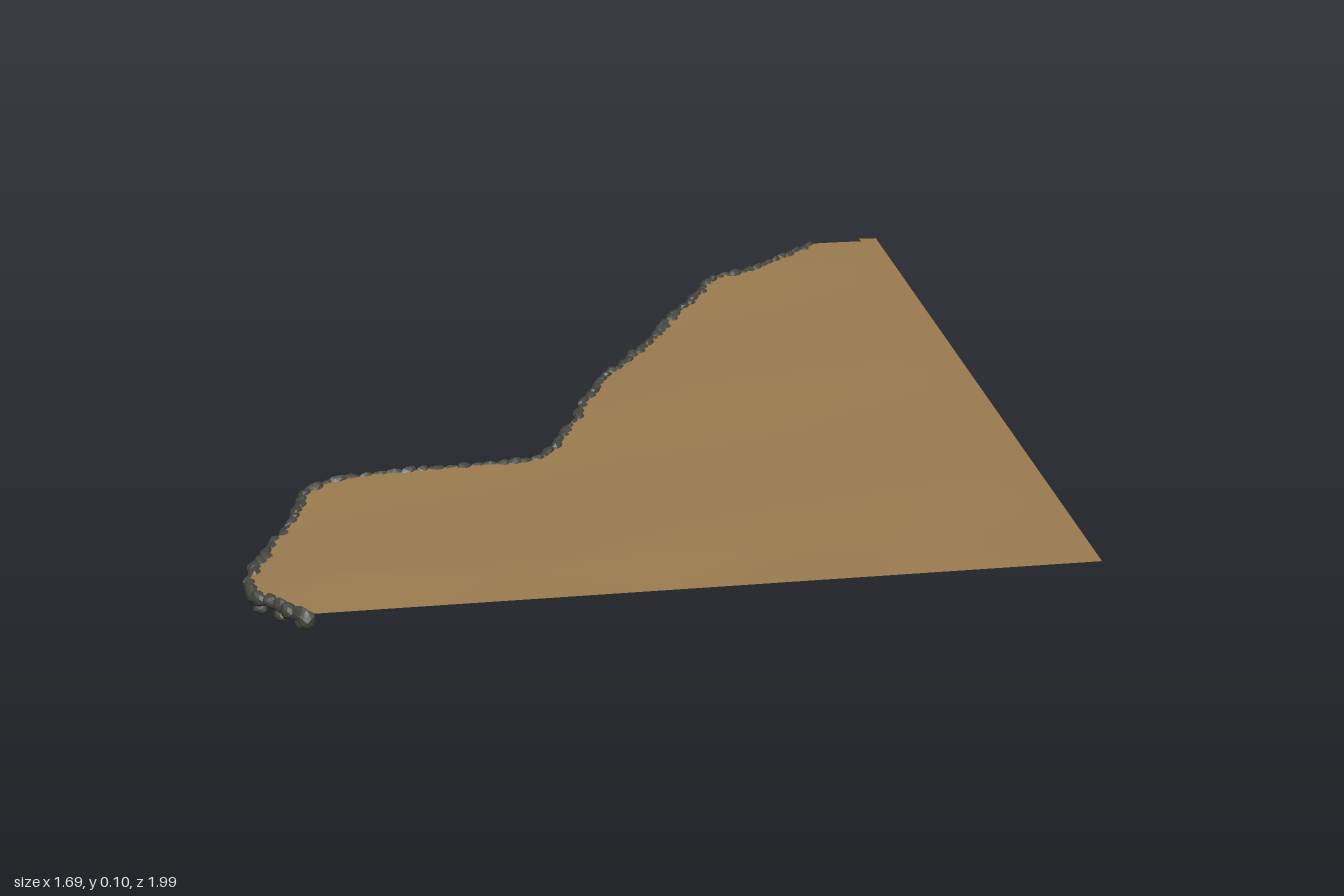
import * as THREE from 'three';

// Ragged bank line (x, z), from back to front
const BANK = [
  [0.69, -0.98], [0.6, -0.9], [0.48, -0.8], [0.39, -0.76], [0.31, -0.61], [0.23, -0.49],
  [0.19, -0.39], [0.12, -0.29], [0.03, -0.15], [-0.03, -0.03], [-0.06, 0.06], [-0.13, 0.2],
  [-0.17, 0.275], [-0.3, 0.3], [-0.48, 0.322], [-0.63, 0.34], [-0.68, 0.38], [-0.73, 0.54],
  [-0.78, 0.65], [-0.83, 0.8], [-0.82, 0.86], [-0.73, 0.975],
];
const RIGHT = 0.853;

// Small seeded generator
let seed = 7;
const rand = () => {
  seed = (seed * 16807) % 2147483647;
  return seed / 2147483647;
};

// Gentle swell of the ground, fading to flat at the straight outer sides
function groundHeight(x, z) {
  const fade = Math.min(1, Math.max(0, (RIGHT - x) / 0.5)) * Math.min(1, Math.max(0, (0.975 - z) / 0.15));
  return 0.086 + fade * (0.004 + 0.004 * Math.sin(x * 11 + z * 2) + 0.004 * Math.cos(z * 9 + x * 3));
}

// Open sheet spanning from the bank line to the straight right side
function groundGeometry() {
  const rows = [[0.81, -1], [0.81, -0.98]];
  BANK.forEach(([x, z], i) => {
    const [x2, z2] = BANK[i + 1] ?? [x, z];
    const steps = i < BANK.length - 1 ? 3 : 1;
    for (let k = 0; k < steps; k++) rows.push([x + (x2 - x) * k / steps, z + (z2 - z) * k / steps]);
  });
  const cols = 36, pos = [], index = [];
  rows.forEach(([x0, z], i) => {
    for (let j = 0; j <= cols; j++) {
      const x = x0 + (RIGHT - x0) * j / cols;
      pos.push(x, groundHeight(x, z), z);
      if (i < rows.length - 1 && j < cols) {
        const a = i * (cols + 1) + j, c = a + cols + 1;
        index.push(a, c, a + 1, a + 1, c, c + 1);
      }
    }
  });
  const geo = new THREE.BufferGeometry();
  geo.setAttribute('position', new THREE.Float32BufferAttribute(pos, 3));
  geo.setIndex(index);
  geo.computeVertexNormals();
  return geo;
}

// A few lumpy stone shapes, shared by all rocks
function stoneGeometry(k) {
  const geo = new THREE.IcosahedronGeometry(1, 1);
  const p = geo.attributes.position, v = new THREE.Vector3();
  for (let i = 0; i < p.count; i++) {
    v.fromBufferAttribute(p, i);
    v.multiplyScalar(0.93 + 0.1 * Math.sin(v.x * 3 + k * 2) * Math.cos(v.y * 4 + k) + 0.06 * Math.sin(v.z * 5 + k));
    p.setXYZ(i, v.x, v.y, v.z);
  }
  geo.computeVertexNormals();
  return geo;
}

export function createModel() {
  const model = new THREE.Group();

  const ground = new THREE.Mesh(groundGeometry(),
    new THREE.MeshStandardMaterial({ color: 0x9c7c50, side: THREE.DoubleSide }));
  ground.name = 'ground';
  model.add(ground);

  // Rocks strung along the bank
  const bankRocks = new THREE.Group();
  bankRocks.name = 'bankRocks';
  const stoneMat = new THREE.MeshStandardMaterial({ color: 0x45453f, flatShading: true });
  const stones = [0, 1, 2, 3].map(stoneGeometry);
  const addRock = (x, y, z, sx, sy, sz, turn) => {
    const rock = new THREE.Mesh(stones[Math.floor(rand() * 4)], stoneMat);
    rock.name = 'rock';
    rock.position.set(x, y, z);
    rock.scale.set(sx, sy, sz);
    rock.rotation.y = turn;
    bankRocks.add(rock);
  };
  for (let i = 0; i < BANK.length - 1; i++) {
    const [x1, z1] = BANK[i], [x2, z2] = BANK[i + 1];
    const dx = x2 - x1, dz = z2 - z1, len = Math.hypot(dx, dz);
    const n = Math.max(1, Math.round(len / 0.028));
    for (let k = 0; k < n; k++) {
      const t = (k + 0.5) / n, off = (rand() - 0.5) * 0.01;
      const x = x1 + dx * t + dz / len * off, z = z1 + dz * t - dx / len * off;
      const turn = Math.atan2(-dz, dx) + (rand() - 0.5) * 0.5;
      // upper stone level with the ground
      addRock(x, groundHeight(x, z) - 0.013 + rand() * 0.005, z,
        0.019 + rand() * 0.008, 0.015 + rand() * 0.007, 0.013 + rand() * 0.005, turn);
      // smaller stone tucked underneath
      if (k % 2 === 0) addRock(x, 0.056 + rand() * 0.008, z, 0.018, 0.011 + rand() * 0.006, 0.014, turn);
    }
  }
  // End stone and the three larger stones hanging below the bank
  addRock(-0.728, 0.075, 0.98, 0.018, 0.022, 0.015, 0);
  [[-0.635, 0.345], [-0.325, 0.308], [0.2, -0.4]].forEach(([x, z]) => {
    addRock(x, 0.031, z, 0.025, 0.03, 0.022, 0.4);
    addRock(x + 0.005, 0.055, z, 0.02, 0.02, 0.02, 1);
  });
  model.add(bankRocks);
  return model;
}
